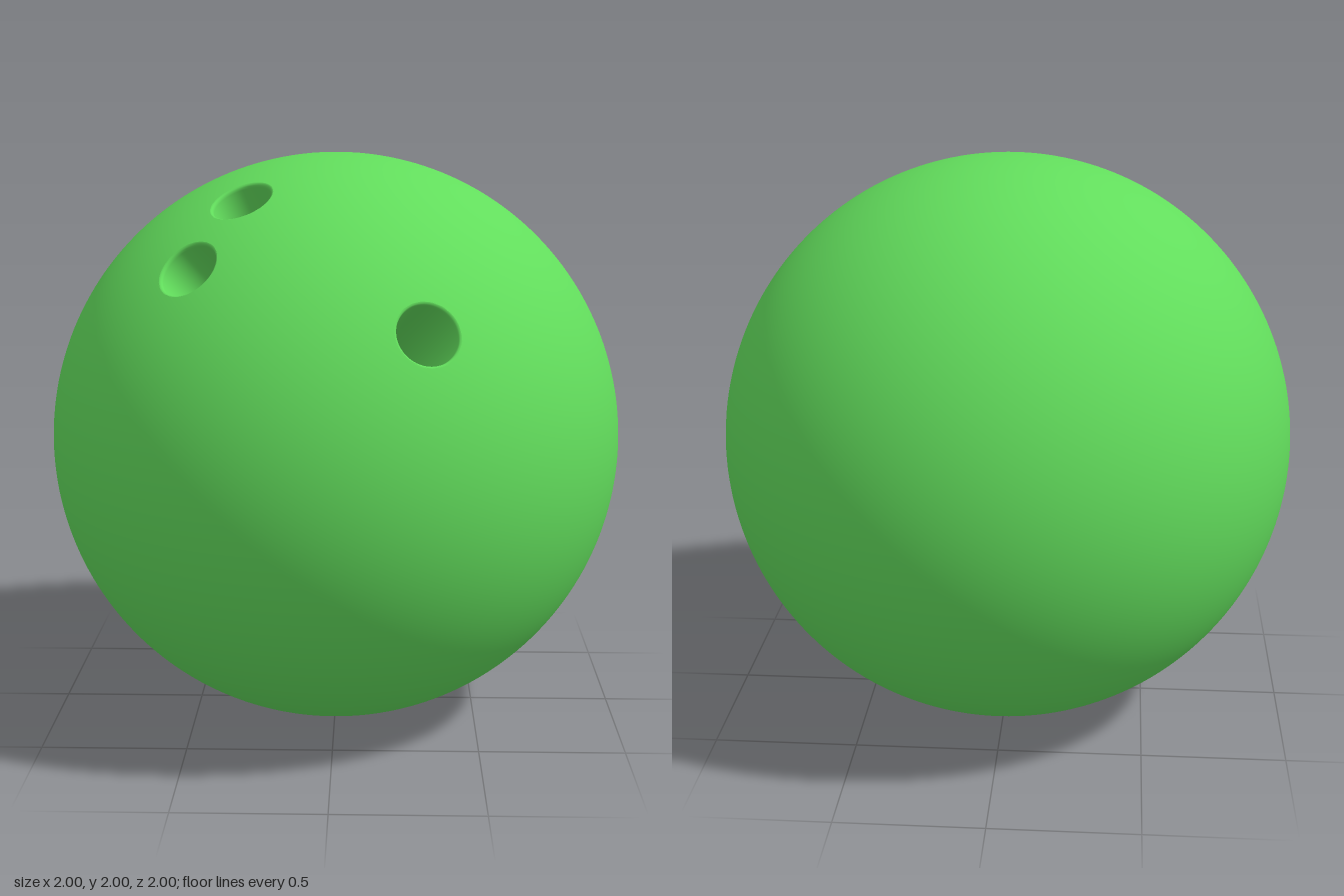
import * as THREE from 'three';

const RIM = 0.11; // radius of the opening where the lip meets the sphere
const HOLES = [
  { name: 'thumbHole', axis: new THREE.Vector3(0.3, 0.485, 0.81).normalize() },
  { name: 'innerFingerHole', axis: new THREE.Vector3(-0.298, 0.862, 0.4).normalize() },
  { name: 'outerFingerHole', axis: new THREE.Vector3(-0.455, 0.66, 0.59).normalize() },
];

// Unit sphere with a round opening cut out around each hole axis
function shellGeometry() {
  const source = new THREE.SphereGeometry(1, 160, 100).toNonIndexed();
  const pos = source.attributes.position;
  const limit = Math.sqrt(1 - RIM * RIM);
  const outside = (v) => limit - Math.max(...HOLES.map((h) => h.axis.dot(v)));
  const out = [];
  for (let i = 0; i < pos.count; i += 3) {
    const tri = [0, 1, 2].map((k) => new THREE.Vector3().fromBufferAttribute(pos, i + k));
    const dist = tri.map(outside);
    const poly = [];
    for (let k = 0; k < 3; k++) {
      const n = (k + 1) % 3;
      if (dist[k] >= 0) poly.push(tri[k]);
      if (dist[k] >= 0 !== dist[n] >= 0) {
        poly.push(tri[k].clone().lerp(tri[n], dist[k] / (dist[k] - dist[n])).normalize());
      }
    }
    for (let k = 1; k + 1 < poly.length; k++) {
      for (const v of [poly[0], poly[k], poly[k + 1]]) out.push(v.x, v.y, v.z);
    }
  }
  const geometry = new THREE.BufferGeometry();
  geometry.setAttribute('position', new THREE.Float32BufferAttribute(out, 3));
  // on a unit sphere the normals equal the positions
  geometry.setAttribute('normal', new THREE.Float32BufferAttribute(out, 3));
  return geometry;
}

// Lip, straight wall, narrowing end and floor, turned about the hole's axis
function holeGeometry() {
  const profile = [
    [0.114, 0.9925], [RIM, 0.9939], [0.104, 0.9915], [0.101, 0.987], [0.1, 0.98],
    [0.1, 0.64], [0.047, 0.3], [0.046, 0.298], [0, 0.298],
  ].map(([r, y]) => new THREE.Vector2(r, y));
  return new THREE.LatheGeometry(profile, 64);
}

export function createModel() {
  const model = new THREE.Group();
  model.name = 'ball';
  const material = new THREE.MeshStandardMaterial({ color: 0x62dd5c });

  const shell = new THREE.Mesh(shellGeometry(), material);
  shell.name = 'shell';
  shell.position.y = 1;
  model.add(shell);

  const bore = holeGeometry();
  const up = new THREE.Vector3(0, 1, 0);
  for (const { name, axis } of HOLES) {
    const hole = new THREE.Mesh(bore, material);
    hole.name = name;
    hole.position.y = 1;
    hole.quaternion.setFromUnitVectors(up, axis);
    model.add(hole);
  }
  return model;
}
